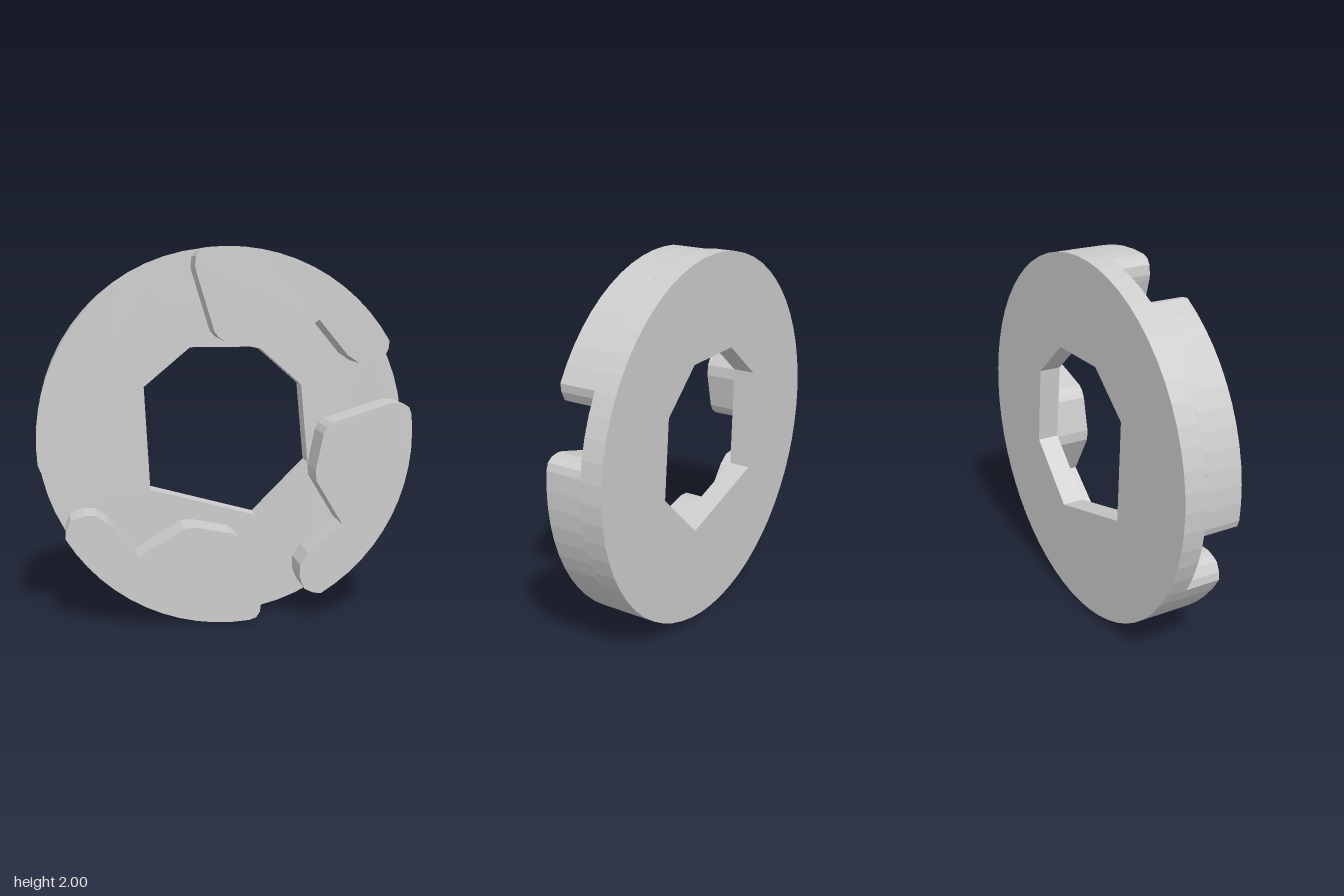
import * as THREE from 'three';

const material = new THREE.MeshStandardMaterial({ color: 0xcccccc, flatShading: true });
const BACK = -0.16, STEP = -0.04, FRONT = 0.16;

const toPoints = (list) => list.map(([x, y]) => new THREE.Vector2(x, y));

// Points on the unit rim between two angles in degrees
function rim(from, to, steps) {
  return Array.from({ length: steps + 1 }, (_, i) => {
    const a = THREE.MathUtils.degToRad(from + ((to - from) * i) / steps);
    return [Math.cos(a), Math.sin(a)];
  });
}

// Straight extrusion of a shape between two depths
function slab(name, shape, z0, z1) {
  const geometry = new THREE.ExtrudeGeometry(shape, { depth: z1 - z0, bevelEnabled: false });
  geometry.translate(0, 0, z0);
  const mesh = new THREE.Mesh(geometry, material);
  mesh.name = name;
  return mesh;
}

export function createModel() {
  const model = new THREE.Group();
  model.name = 'slottedDisc';

  // Base plate with an irregular seven-sided opening
  const plate = new THREE.Shape(toPoints(rim(0, 360, 60).slice(0, -1)));
  plate.holes.push(new THREE.Path(toPoints([
    [-0.18, 0.47], [0.19, 0.47], [0.43, 0.26], [0.47, -0.17],
    [0.18, -0.46], [-0.4, -0.3], [-0.43, 0.26],
  ])));
  model.add(slab('basePlate', plate, BACK, STEP));

  // Raised jaw: outer rim arc, rounded toe, inner notch and sloped heel
  const jaw = new THREE.Shape(toPoints([
    ...rim(96.5, 30.5, 12),
    [0.857, 0.465], [0.834, 0.417], [0.8, 0.4], [0.76, 0.388], [0.7, 0.39], [0.636, 0.433],
    [0.48, 0.62], [0.24, 0.475], [0.18, 0.47],
    [-0.015, 0.51], [-0.05, 0.53], [-0.075, 0.56],
    [-0.17, 0.87], [-0.176, 0.9], [-0.17, 0.95], [-0.15, 0.98],
  ]));

  // Four jaws, a quarter turn apart
  for (let i = 0; i < 4; i++) {
    const mesh = slab('jaw' + (i + 1), jaw, STEP, FRONT);
    mesh.rotation.z = (-i * Math.PI) / 2;
    model.add(mesh);
  }

  model.children.forEach((part) => { part.position.y = 1; });
  return model;
}
